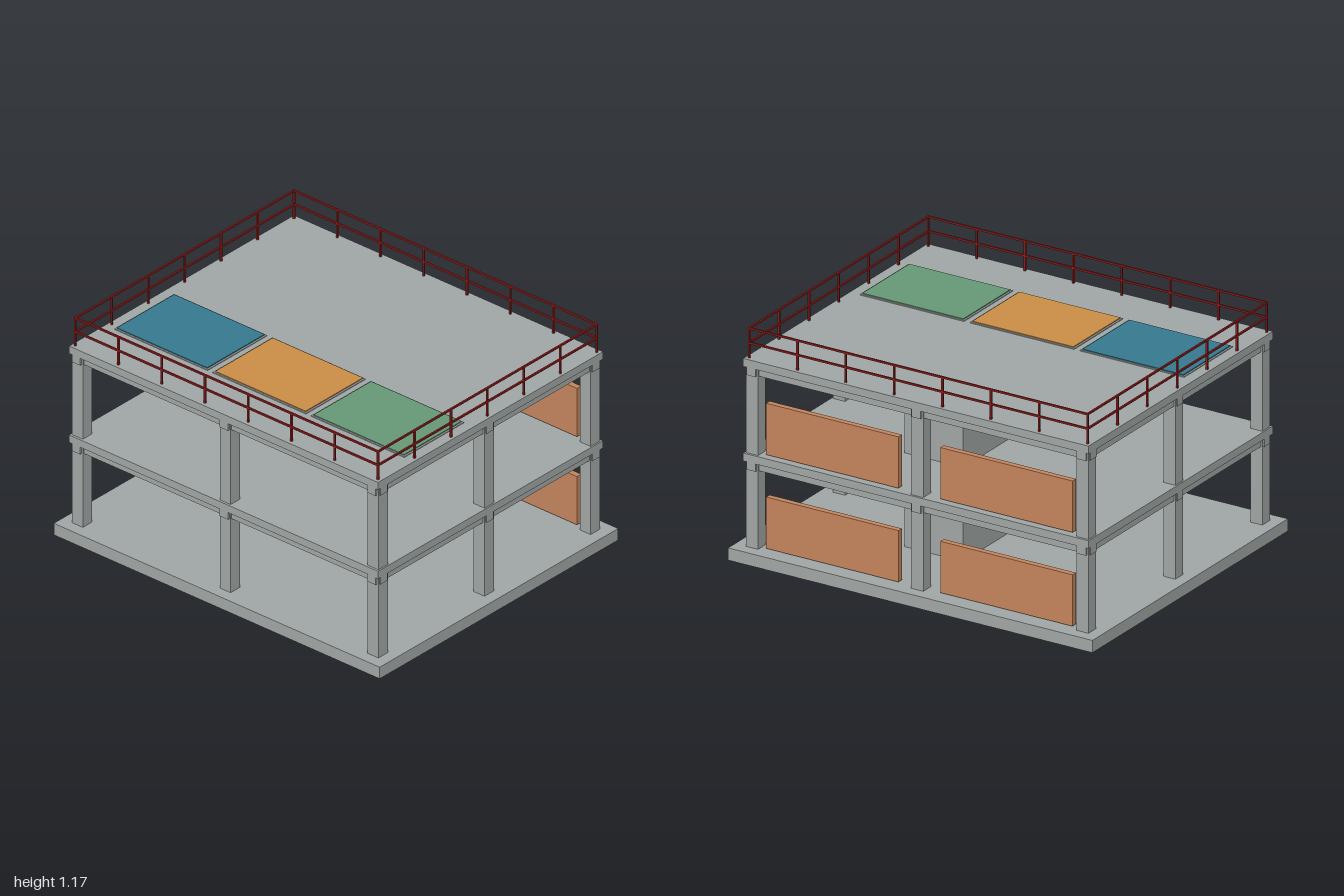
import * as THREE from 'three';

const material = (name, color) => {
  const m = new THREE.MeshStandardMaterial({ color });
  m.name = name;
  return m;
};

export function createModel() {
  const model = new THREE.Group();
  model.name = 'buildingFrame';

  const concrete = material('concrete', 0xa0a6a5);
  const brick = material('terracotta', 0xc3845d);
  const railRed = material('railRed', 0x8a1c1c);
  const blue = material('blue', 0x36788f);
  const amber = material('amber', 0xc98c46);
  const green = material('green', 0x669876);

  // Box given by its lower and upper limits on each axis
  const box = (name, mat, [x0, x1], [y0, y1], [z0, z1], parent = model) => {
    const mesh = new THREE.Mesh(new THREE.BoxGeometry(x1 - x0, y1 - y0, z1 - z0), mat);
    mesh.position.set((x0 + x1) / 2, (y0 + y1) / 2, (z0 + z1) / 2);
    mesh.name = name;
    parent.add(mesh);
  };
  const around = (c, w) => [c - w / 2, c + w / 2];

  const colX = [-0.907, 0, 0.907];
  const colZ = [-0.747, 0, 0.747];

  box('foundation', concrete, [-1, 1], [0, 0.062], [-0.84, 0.84]);

  // Two storeys: columns, beams, slab, core and rear wall panels
  [[0.062, 0.535], [0.535, 1.012]].forEach(([floor, top], i) => {
    const storey = new THREE.Group();
    storey.name = i ? 'upperStorey' : 'lowerStorey';
    model.add(storey);
    const slab = top - 0.04;
    const beam = top - 0.08;

    box('slab', concrete, [-0.948, 0.948], [slab, top], [-0.792, 0.792], storey);
    for (const x of colX) {
      box('crossBeam', concrete, around(x, 0.05), [beam, slab], [-0.79, 0.79], storey);
      for (const z of colZ) {
        if (x === 0 && z === 0) continue;
        box('column', concrete, around(x, 0.066), [floor, slab], around(z, 0.066), storey);
      }
    }
    for (const z of colZ) {
      box('longBeam', concrete, [-0.946, 0.946], [beam, slab], around(z, 0.05), storey);
    }
    box('core', concrete, [0, 0.32], [floor, slab], [-0.388, 0], storey);
    for (const s of [-1, 1]) {
      box('wallPanel', brick, around(s * 0.478, 0.726), [floor + 0.006, floor + 0.265],
        around(-0.747, 0.03), storey);
    }
  });

  // Coloured roof panels on thin trays
  [blue, amber, green].forEach((mat, i) => {
    const x = (i - 1) * 0.604;
    box('roofTray', concrete, around(x, 0.572), [1.012, 1.016], [0.12, 0.54]);
    box('roofPanel', mat, around(x, 0.554), [1.016, 1.021], [0.128, 0.532]);
  });

  // Roof guard rail
  const railing = new THREE.Group();
  railing.name = 'railing';
  model.add(railing);
  const rx = 0.929, rz = 0.77, t = 0.009;
  for (const s of [-1, 1]) {
    for (const y of [1.088, 1.161]) {
      box('longRail', railRed, [-rx, rx], around(y, t), around(s * rz, t), railing);
      box('sideRail', railRed, around(s * rx, t), around(y, t), [-rz, rz], railing);
    }
    for (let i = 0; i <= 7; i++) {
      box('post', railRed, around(-rx + (2 * rx * i) / 7, t), [1.012, 1.165], around(s * rz, t), railing);
    }
    for (let i = 1; i < 6; i++) {
      box('post', railRed, around(s * rx, t), [1.012, 1.165], around(-rz + (2 * rz * i) / 6, t), railing);
    }
  }
  return model;
}
